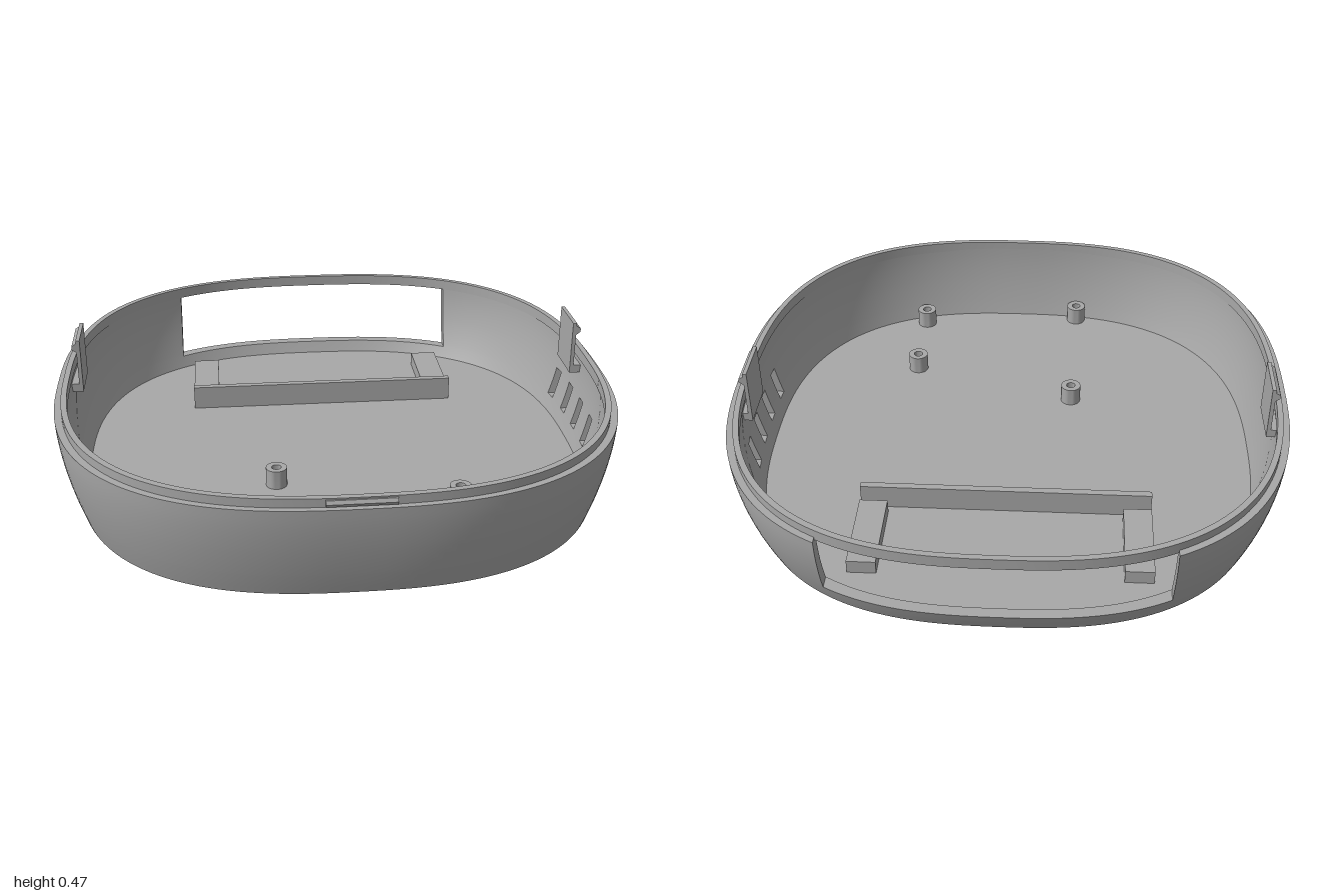
import * as THREE from 'three';
import { toCreasedNormals } from 'three/addons/utils/BufferGeometryUtils.js';

const N = 2.6; // roundness of the squircle outline
const FLOOR = 0.03;
const OPEN_X = 0.57;
const slotCentres = [-0.25, -0.105, 0.035, 0.18];
const SLOT_HALF = 0.024;

const sgnPow = (v, p) => Math.sign(v) * Math.pow(Math.abs(v), p);

// Outline sections: half width, half depth and centre in z at a height
function outerSection(y) {
  const s = Math.pow(Math.max(0, 1 - y / 0.33), 1.7);
  return { rx: 1 - 0.07 * s, rz: 1.01 - 0.07 * s, cz: -0.01 + 0.015 * s };
}
const inset = (s, t) => ({ rx: s.rx - t, rz: s.rz - t, cz: s.cz });

const pointAt = (s, a, y) => new THREE.Vector3(
  s.rx * sgnPow(Math.cos(a), 2 / N), y, s.cz + s.rz * sgnPow(Math.sin(a), 2 / N));

// Angles at which an outline meets the vent edges and the rear opening
function breakAngles(s) {
  const atZ = z => Math.asin(sgnPow((z - s.cz) / s.rz, N / 2));
  const c = Math.pow(OPEN_X / s.rx, N / 2);
  const edges = slotCentres.flatMap(z => [atZ(z - SLOT_HALF), atZ(z + SLOT_HALF)]);
  return [...edges, 2 * Math.PI - Math.acos(-c), 2 * Math.PI - Math.acos(c), 2 * Math.PI + edges[0]];
}
// Columns between breaks: vents and gaps, long wall, rear opening, rear corner
const spans = [2, 4, 2, 4, 2, 4, 2, 110, 40, 26];
const columns = spans.flatMap((n, k) => Array.from({ length: n }, (_, i) => ({ k, f: i / n })));

function ring(s, y) {
  const b = breakAngles(s);
  return columns.map(({ k, f }) => pointAt(s, b[k] + (b[k + 1] - b[k]) * f, y));
}

// Closed wall between two lofted surfaces, leaving out the cells that are cut away
function wallGeometry(ys, outer, inner, keep) {
  const P = ys.map(y => ring(outer(y), y));
  const Q = ys.map(y => ring(inner(y), y));
  const pos = [];
  const quad = (a, b, c, d) => [a, b, c, a, c, d].forEach(v => pos.push(v.x, v.y, v.z));
  const n = columns.length;
  const has = (i, j) => j >= 0 && j < ys.length - 1 &&
    keep(columns[(i + n) % n].k, (ys[j] + ys[j + 1]) / 2);
  for (let j = 0; j < ys.length - 1; j++) {
    for (let i = 0; i < n; i++) {
      if (!has(i, j)) continue;
      const m = (i + 1) % n;
      const [pa, pb, pc, pd] = [P[j][i], P[j][m], P[j + 1][m], P[j + 1][i]];
      const [qa, qb, qc, qd] = [Q[j][i], Q[j][m], Q[j + 1][m], Q[j + 1][i]];
      quad(pa, pd, pc, pb);
      quad(qa, qb, qc, qd);
      if (!has(i, j - 1)) quad(qa, pa, pb, qb);
      if (!has(i, j + 1)) quad(qd, qc, pc, pd);
      if (!has(i - 1, j)) quad(qa, qd, pd, pa);
      if (!has(i + 1, j)) quad(qb, pb, pc, qc);
    }
  }
  const g = new THREE.BufferGeometry();
  g.setAttribute('position', new THREE.Float32BufferAttribute(pos, 3));
  return toCreasedNormals(g, 0.6);
}

export function createModel() {
  const model = new THREE.Group();
  const grey = new THREE.MeshStandardMaterial({ color: 0xa8a8a8 });
  grey.name = 'grey plastic';

  const add = (name, geometry, x = 0, y = 0, z = 0) => {
    const mesh = new THREE.Mesh(geometry, grey);
    mesh.name = name;
    mesh.position.set(x, y, z);
    model.add(mesh);
    return mesh;
  };
  const box = (name, x0, x1, y0, y1, z0, z1) => add(name,
    new THREE.BoxGeometry(x1 - x0, y1 - y0, z1 - z0),
    (x0 + x1) / 2, (y0 + y1) / 2, (z0 + z1) / 2);

  // Bowed side wall with four vents on the left and a wide rear opening
  const rows = [0, 0.025, 0.05, 0.075, 0.085, 0.11, 0.14, 0.17, 0.195, 0.23, 0.265, 0.3, 0.33];
  add('sideWall', wallGeometry(rows, outerSection, y => inset(outerSection(y), 0.04), (k, y) => {
    if (k === 8) return y < 0.075;
    const vent = k < 7 && k % 2 === 0;
    return !(vent && y > 0.085 && y < 0.195);
  }));

  // Thin lip that also bridges the rear opening
  const lip = { rx: 0.975, rz: 0.99, cz: -0.01 };
  add('topLip', wallGeometry([0.32, 0.36], () => lip, () => inset(lip, 0.02), () => true));

  // Floor plate
  const base = inset(outerSection(0), 0.02);
  const outline = Array.from({ length: 160 }, (_, i) => {
    const p = pointAt(base, i / 160 * 2 * Math.PI, 0);
    return new THREE.Vector2(p.x, -p.z);
  });
  const floor = new THREE.ExtrudeGeometry(new THREE.Shape(outline), { depth: FLOOR, bevelEnabled: false });
  floor.rotateX(-Math.PI / 2);
  add('floor', toCreasedNormals(floor, 0.6));

  // Holder ribs on the floor
  box('crossRib', -0.52, 0.515, FLOOR, 0.12, -0.4, -0.375);
  box('rightPad', -0.52, -0.42, FLOOR, 0.08, -0.74, -0.425);
  box('leftPad', 0.415, 0.515, FLOOR, 0.08, -0.74, -0.425);

  // Hollow screw posts
  const post = toCreasedNormals(new THREE.LatheGeometry(
    [[0.017, FLOOR], [0.038, FLOOR], [0.038, 0.1], [0.017, 0.1], [0.017, FLOOR]]
      .map(p => new THREE.Vector2(...p)), 28), 0.6);
  [[-0.225, 0.285], [0.405, 0.475], [0.405, 0.82], [-0.24, 0.88]]
    .forEach(([x, z]) => add('screwPost', post, x, 0, z));

  // Snap clips with an outward hook, one on each side
  const profile = [[0.917, 0.27], [0.965, 0.27], [0.965, 0.3], [0.931, 0.3], [0.931, 0.425],
    [0.947, 0.437], [0.947, 0.45], [0.931, 0.46], [0.931, 0.472], [0.917, 0.472]];
  const clip = new THREE.ExtrudeGeometry(
    new THREE.Shape(profile.map(p => new THREE.Vector2(...p))), { depth: 0.175, bevelEnabled: false });
  clip.translate(0, 0, -0.0875);
  add('leftClip', clip, 0, 0, -0.143);
  add('rightClip', clip, 0, 0, -0.143).rotation.y = Math.PI;

  // Catch ridge on the front of the lip
  const ridge = new THREE.CylinderGeometry(0.013, 0.013, 0.22, 6);
  ridge.rotateZ(Math.PI / 2);
  add('frontCatch', toCreasedNormals(ridge, 0.6), 0, 0.344, 0.979);

  return model;
}
